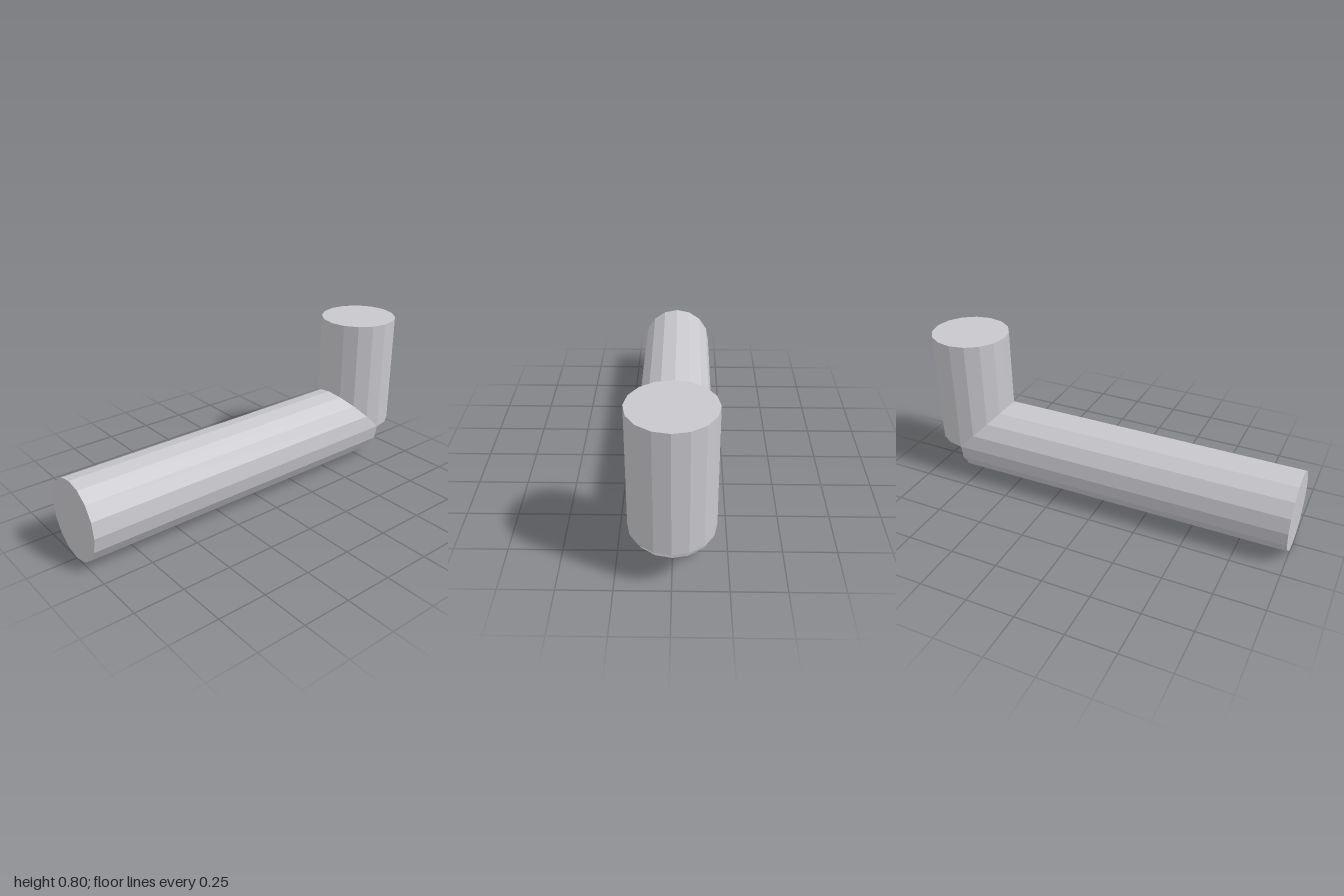
import * as THREE from 'three';

const HALF_WIDTH = 0.197; // the pipes are slightly narrower in x
const RADIUS = 0.2035;

export function createModel() {
  const group = new THREE.Group();
  group.name = 'elbowPipe';
  const grey = new THREE.MeshStandardMaterial({ color: 0xc8c7cc });
  grey.name = 'light grey';

  // Closed sixteen-sided pipe with flat facets, standing along y
  const pipeGeometry = (length) =>
    new THREE.CylinderGeometry(RADIUS, RADIUS, length, 16)
      .scale(HALF_WIDTH / RADIUS, 1, 1)
      .toNonIndexed();

  const addPipe = (name, geometry, y, z) => {
    geometry.computeVertexNormals();
    const mesh = new THREE.Mesh(geometry, grey);
    mesh.name = name;
    mesh.position.set(0, y, z);
    group.add(mesh);
  };

  // Long pipe lying from front to back, ending on the upright's axis
  const backEnd = -1 + RADIUS;
  const length = 1 - backEnd;
  addPipe('longPipe', pipeGeometry(length).rotateX(Math.PI / 2), RADIUS, (1 + backEnd) / 2);

  // Short upright pipe, starting at the long pipe's axis
  const top = 0.804;
  addPipe('uprightPipe', pipeGeometry(top - RADIUS), (top + RADIUS) / 2, backEnd);

  return group;
}
